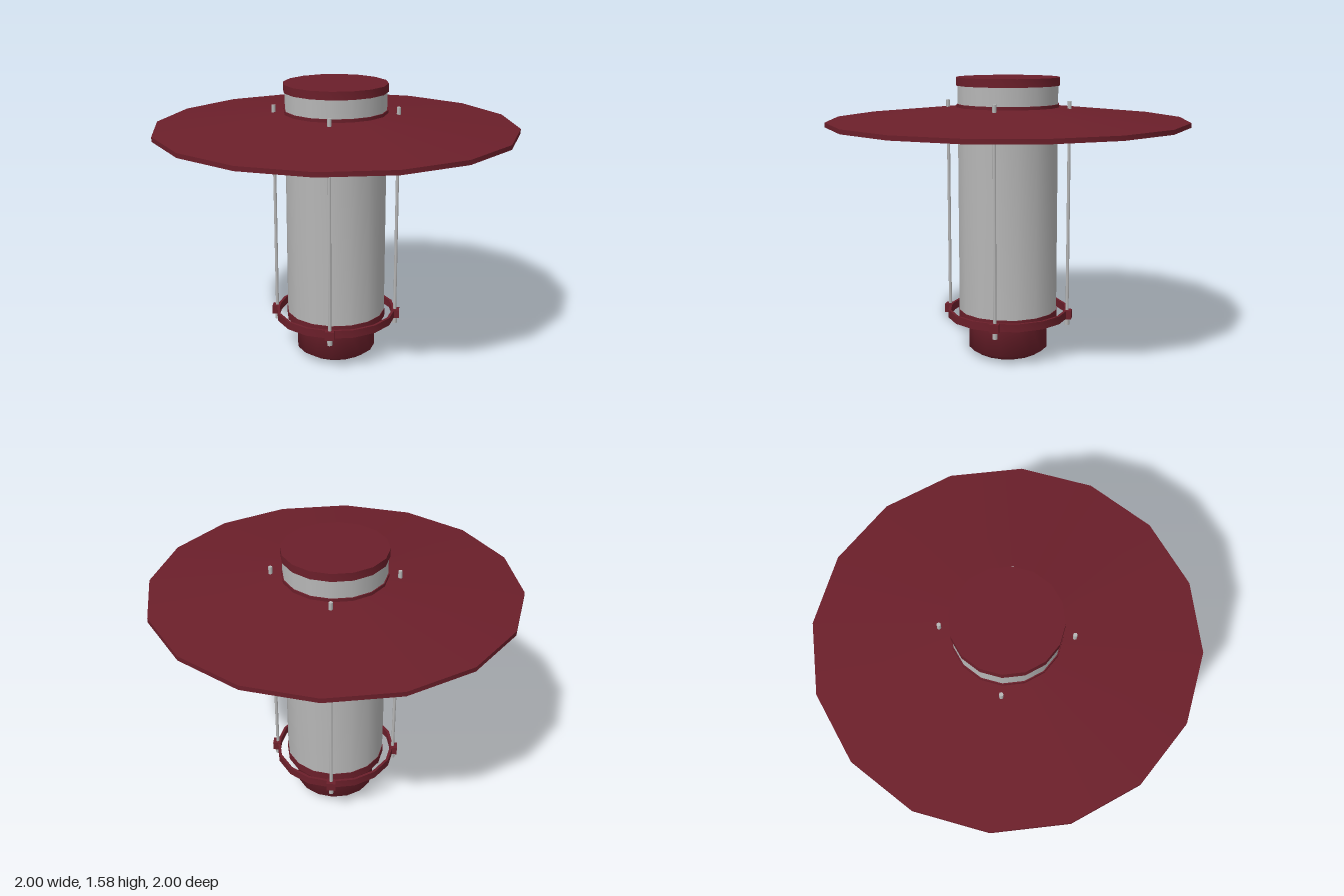
import * as THREE from 'three';
import { toCreasedNormals } from 'three/addons/utils/BufferGeometryUtils.js';

const SIDES = 16;

export function createModel() {
  const model = new THREE.Group();
  model.name = 'lantern';

  const red = new THREE.MeshStandardMaterial({ color: 0x6b1f2a });
  red.name = 'dark red enamel';
  const grey = new THREE.MeshStandardMaterial({ color: 0xb6b6b6 });
  grey.name = 'light grey';

  const add = (name, geometry, material, parent = model) => {
    const mesh = new THREE.Mesh(geometry, material);
    mesh.name = name;
    parent.add(mesh);
    return mesh;
  };

  // Turned part; profile runs counterclockwise: underside, outside, top
  const turned = (name, profile, material, crease = 0.7) => {
    const points = profile.map(([r, y]) => new THREE.Vector2(r, y));
    return add(name, toCreasedNormals(new THREE.LatheGeometry(points, SIDES), crease), material);
  };

  // Base and body
  turned('base', [[0, 0], [0.1, 0.002], [0.175, 0.012], [0.225, 0.045], [0.225, 0.23]], red, 1.1);
  turned('baseFlange', [[0.2, 0.225], [0.283, 0.225], [0.283, 0.27], [0.27, 0.27]], red);
  turned('body', [[0.28, 0.26], [0.28, 1.54]], grey);

  // Wide shade: enamelled top and rim, pale underside
  turned('shadeTop', [[1, 1.32], [1, 1.345], [0.28, 1.418]], red);
  turned('shadeUnderside', [[0.28, 1.405], [1, 1.32]], grey);
  turned('shadeCollar', [[0.28, 1.41], [0.286, 1.41], [0.286, 1.435], [0.275, 1.435]], red);

  // Top cap
  turned('cap', [[0.27, 1.535], [0.288, 1.535], [0.288, 1.58], [0, 1.58]], red);

  // Thin ring standing clear of the flange
  turned('guardRing', [[0.33, 0.225], [0.345, 0.225], [0.345, 0.27], [0.33, 0.27], [0.33, 0.225]], red);

  // Four tie rods, each with a lug on the ring and nuts at both ends
  for (let i = 0; i < 4; i++) {
    const tie = new THREE.Group();
    tie.name = 'tieRod' + (i + 1);
    tie.rotation.y = (i * Math.PI) / 2;
    model.add(tie);

    const post = (name, radius, bottom, top) => {
      const geometry = new THREE.CylinderGeometry(radius, radius, top - bottom, 8);
      geometry.translate(0.343, (bottom + top) / 2, 0);
      add(name, geometry, grey, tie);
    };
    post('rod', 0.009, 0.2, 1.44);
    post('lowerNut', 0.014, 0.185, 0.225);
    post('upperNut', 0.011, 1.36, 1.452);

    const lug = new THREE.BoxGeometry(0.045, 0.049, 0.05);
    lug.translate(0.346, 0.2475, 0);
    add('lug', lug, red, tie);
  }

  return model;
}
